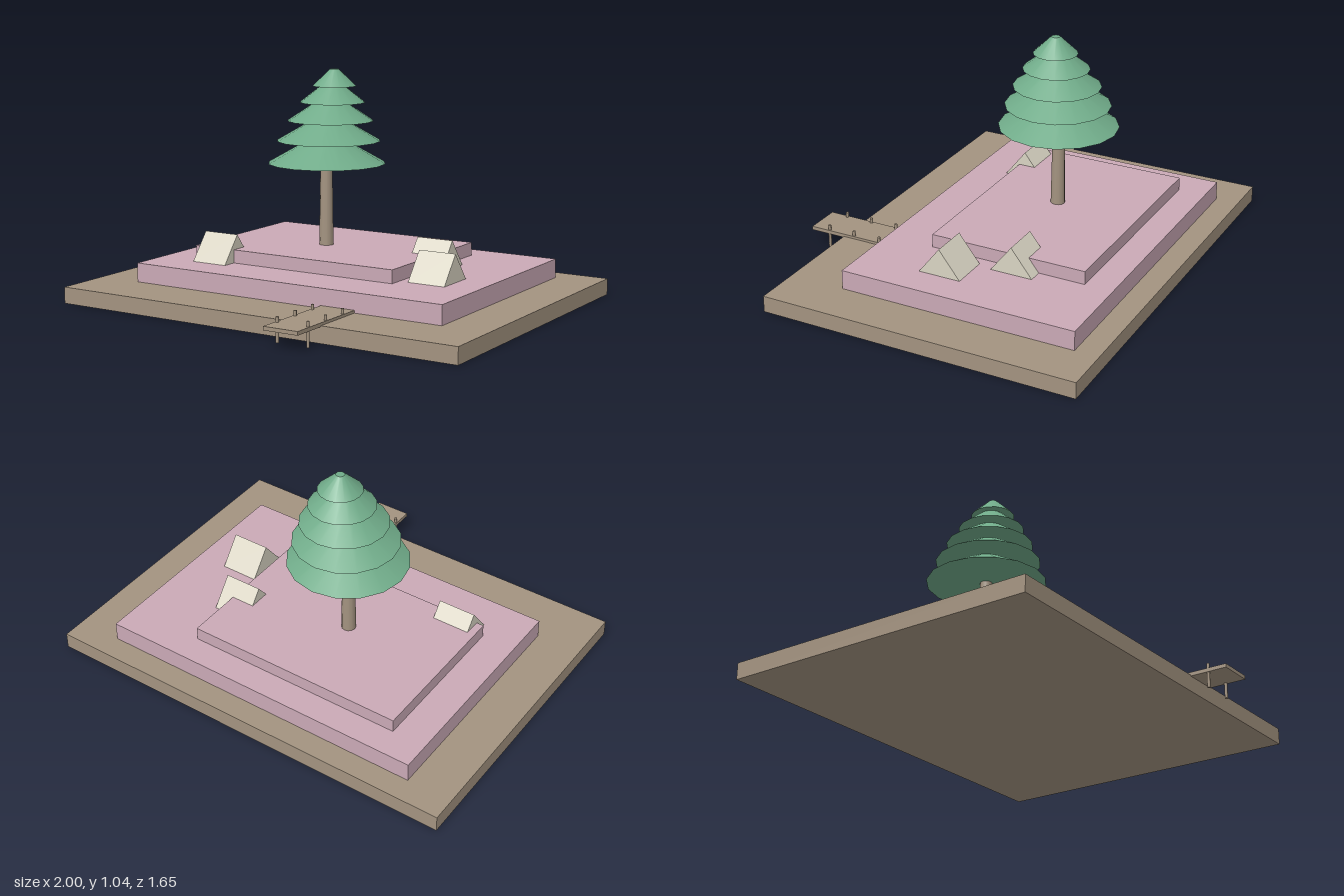
import * as THREE from 'three';

const material = (name, color) => Object.assign(new THREE.MeshStandardMaterial({ color }), { name });

export function createModel() {
  const group = new THREE.Group();
  group.name = 'treeIsland';
  const brown = material('earthBrown', 0xa39380);
  const pink = material('dustyPink', 0xcaa9b6);
  const green = material('leafGreen', 0x70ab89);
  const cream = material('canvasCream', 0xd9d4c3);

  const add = (name, geometry, mat, x = 0, y = 0, z = 0) => {
    const mesh = new THREE.Mesh(geometry, mat);
    mesh.name = name;
    mesh.position.set(x, y, z);
    group.add(mesh);
    return mesh;
  };

  // Box given by its limits on each axis
  const slab = (name, mat, [x0, x1], [y0, y1], [z0, z1]) =>
    add(name, new THREE.BoxGeometry(x1 - x0, y1 - y0, z1 - z0), mat,
      (x0 + x1) / 2, (y0 + y1) / 2, (z0 + z1) / 2);

  // Stepped ground
  slab('base', brown, [-1, 1], [0, 0.075], [-0.823, 0.652]);
  slab('lowerTerrace', pink, [-0.79, 0.787], [0.075, 0.163], [-0.714, 0.389]);
  slab('upperTerrace', pink, [-0.63, 0.417], [0.163, 0.224], [-0.584, 0.155]);

  // Dock with three pairs of posts
  slab('dockDeck', brown, [0.203, 0.37], [0.07, 0.087], [0.389, 0.823]);
  for (const z of [0.469, 0.601, 0.733]) {
    for (const x of [0.212, 0.361]) {
      add('dockPost', new THREE.CylinderGeometry(0.007, 0.007, 0.109, 8), brown, x, 0.0555, z);
    }
  }

  // Tents: triangular prisms with the ridge along x
  const gable = new THREE.Shape([
    new THREE.Vector2(-0.099, 0), new THREE.Vector2(0.099, 0), new THREE.Vector2(0, 0.127),
  ]);
  const tentGeometry = new THREE.ExtrudeGeometry(gable, { depth: 0.178, bevelEnabled: false });
  tentGeometry.translate(0, 0, -0.089).rotateY(Math.PI / 2);
  for (const [x, z] of [[-0.506, 0.126], [0.549, -0.005], [0.394, -0.268]]) {
    add('tent', tentGeometry, cream, x, 0.163, z);
  }

  // Tree trunk
  const treeZ = -0.188;
  add('trunk', new THREE.CylinderGeometry(0.027, 0.033, 0.42, 12), brown, -0.134, 0.43, treeZ);

  // Foliage tiers, drifting slightly sideways: bottom y, top y, bottom radius, top radius
  const tiers = [
    [0.606, 0.71, 0.272, 0.09],
    [0.71, 0.803, 0.239, 0.08],
    [0.803, 0.888, 0.198, 0.07],
    [0.888, 0.963, 0.15, 0.055],
    [0.963, 1.04, 0.1, 0.02],
  ];
  tiers.forEach(([y0, y1, r0, r1], i) => {
    add('foliageTier', new THREE.CylinderGeometry(r1, r0, y1 - y0, 16), green,
      -0.132 + i * 0.0103, (y0 + y1) / 2, treeZ);
  });

  return group;
}
